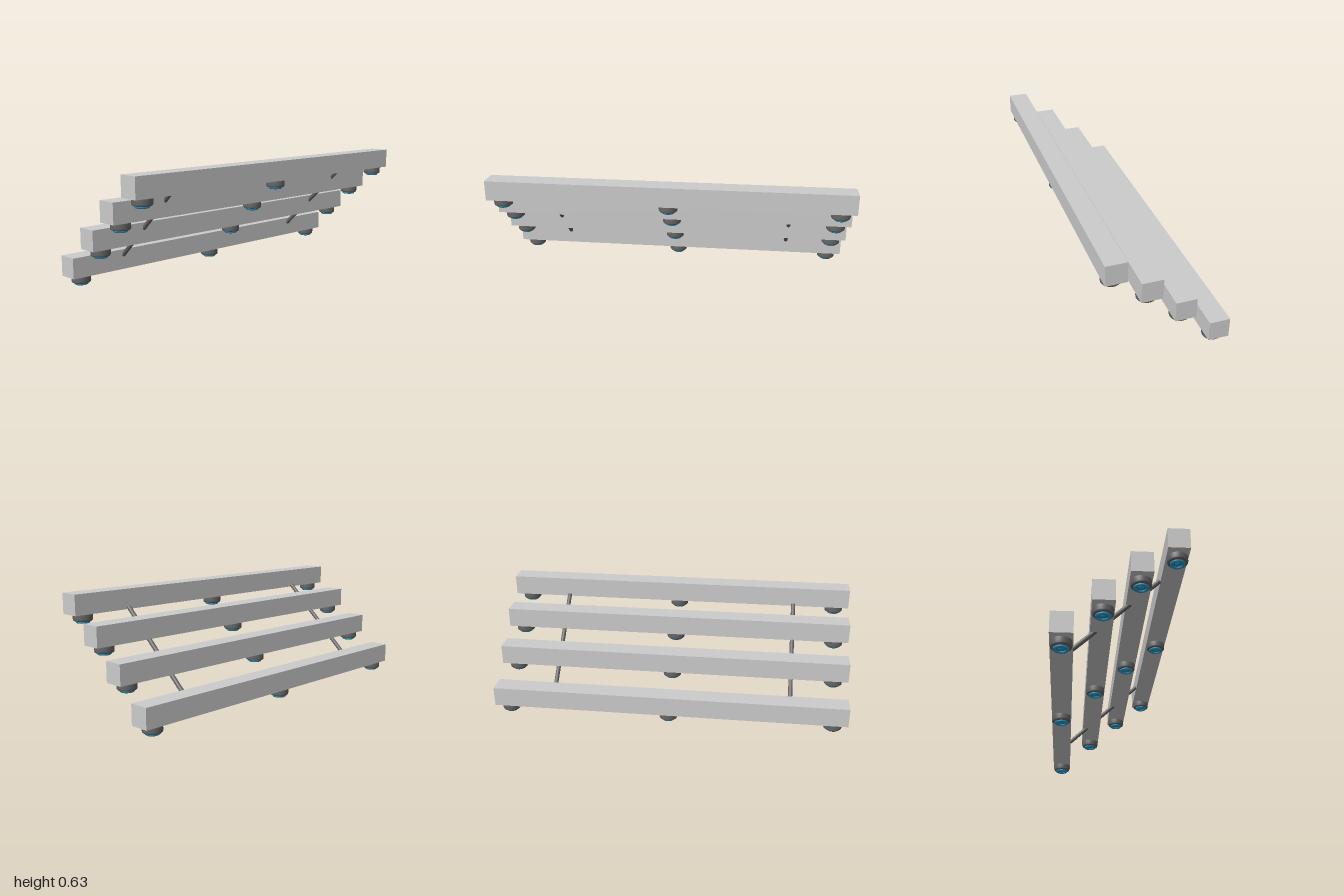
import * as THREE from 'three';

const grey = new THREE.MeshStandardMaterial({ color: 0xcccccc });
const dark = new THREE.MeshStandardMaterial({ color: 0x666666 });
const blue = new THREE.MeshStandardMaterial({ color: 0x2a9fd0 });

const BEAM = 0.11;
// underside height and depth of each stepped beam, front (highest) to back
const STEPS = [[0.524, 0.275], [0.384, 0.096], [0.224, -0.084], [0.049, -0.274]];

const lathe = (pts) => new THREE.LatheGeometry(pts.map(([x, y]) => new THREE.Vector2(x, y)), 32);

// lamp housing with rounded lower edge; y = 0 is the beam underside
const housingGeo = lathe([
  [0, -0.041], [0.024, -0.041], [0.024, -0.038], [0.043, -0.038], [0.047, -0.037],
  [0.05, -0.034], [0.0515, -0.028], [0.0515, -0.004], [0.05, 0], [0, 0],
]);
// glowing ring and central disc under the housing
const ringGeo = lathe([
  [0.022, -0.038], [0.022, -0.046], [0.025, -0.049], [0.033, -0.049],
  [0.037, -0.046], [0.038, -0.042], [0.038, -0.037],
]);
const discGeo = lathe([[0, -0.045], [0.012, -0.045], [0.014, -0.043], [0.014, -0.04]]);

function add(parent, name, geo, mat, x = 0, y = 0, z = 0) {
  const mesh = new THREE.Mesh(geo, mat);
  mesh.name = name;
  mesh.position.set(x, y, z);
  parent.add(mesh);
  return mesh;
}

function lamp(x) {
  const g = new THREE.Group();
  g.name = 'lamp';
  g.position.x = x;
  add(g, 'lampHousing', housingGeo, dark);
  add(g, 'lampRing', ringGeo, blue);
  add(g, 'lampDisc', discGeo, blue);
  return g;
}

export function createModel() {
  const model = new THREE.Group();
  model.name = 'steppedBeamLights';

  // four beams, each with three lamps underneath
  const beamGeo = new THREE.BoxGeometry(2, BEAM, BEAM);
  for (const [y, z] of STEPS) {
    const row = new THREE.Group();
    row.name = 'beamRow';
    row.position.set(0, y, z);
    add(row, 'beam', beamGeo, grey, 0, BEAM / 2, 0);
    for (const x of [-0.92, 0, 0.92]) row.add(lamp(x));
    model.add(row);
  }

  // two sloping rods tie the beams together
  const top = new THREE.Vector3(0, 0.535, 0.217);
  const bottom = new THREE.Vector3(0, 0.128, -0.224);
  const dir = top.clone().sub(bottom);
  const rodGeo = new THREE.CylinderGeometry(0.012, 0.012, dir.length(), 16);
  const mid = top.clone().add(bottom).multiplyScalar(0.5);
  for (const x of [-0.68, 0.667]) {
    const rod = add(model, 'connectingRod', rodGeo, dark, x, mid.y, mid.z);
    rod.quaternion.setFromUnitVectors(new THREE.Vector3(0, 1, 0), dir.clone().normalize());
  }
  return model;
}
